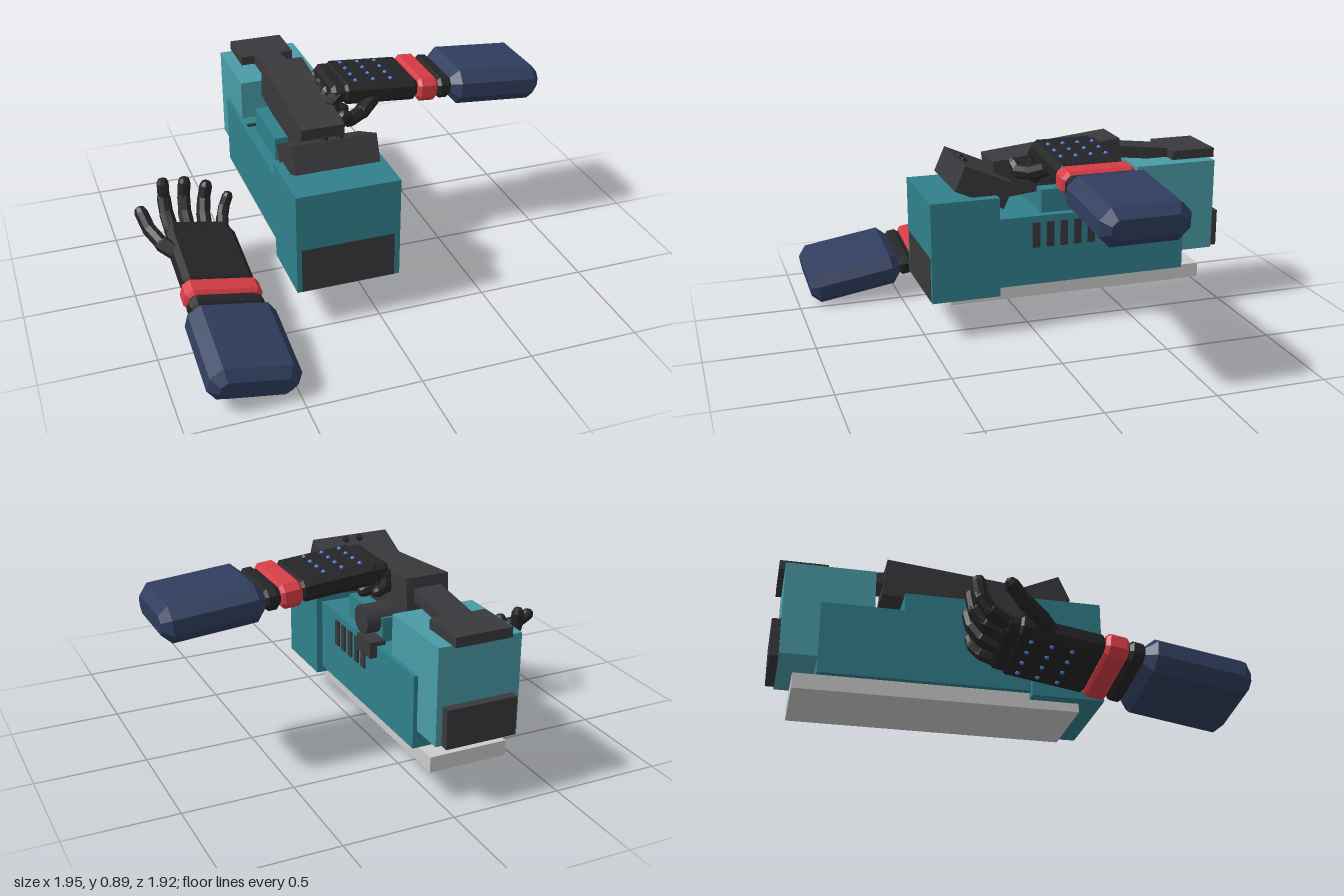
import * as THREE from 'three';

const paint = (color) => new THREE.MeshStandardMaterial({ color, flatShading: true });
const teal = paint(0x30808c), lightTeal = paint(0x4a9ca8), dark = paint(0x39383c);
const black = paint(0x242426), navy = paint(0x2f3d5e), red = paint(0xd63c46);
const blue = paint(0x4a7ae0), grey = paint(0xcccccc);

function add(parent, name, geometry, material, x = 0, y = 0, z = 0) {
  const mesh = new THREE.Mesh(geometry, material);
  mesh.name = name;
  mesh.position.set(x, y, z);
  parent.add(mesh);
  return mesh;
}

// Box given by its limits on each axis
function block(parent, name, material, [x0, x1], [y0, y1], [z0, z1]) {
  return add(parent, name, new THREE.BoxGeometry(x1 - x0, y1 - y0, z1 - z0), material,
    (x0 + x1) / 2, (y0 + y1) / 2, (z0 + z1) / 2);
}

// Box with chamfered long edges (c) and chamfered ends (b), centred, long axis z
function chamferBox(w, h, l, c, b) {
  const x = w / 2 - b, y = h / 2 - b;
  const outline = [[x, -y + c], [x, y - c], [x - c, y], [-x + c, y],
    [-x, y - c], [-x, -y + c], [-x + c, -y], [x - c, -y]];
  const shape = new THREE.Shape(outline.map(([u, v]) => new THREE.Vector2(u, v)));
  const geometry = new THREE.ExtrudeGeometry(shape, {
    depth: l - 2 * b, bevelEnabled: true, bevelSize: b, bevelThickness: b, bevelSegments: 1,
  });
  return geometry.translate(0, 0, -(l / 2 - b));
}

// Jointed finger: one capsule per pair of points, slimmer towards the tip
function finger(parent, name, points, radius) {
  const group = new THREE.Group();
  group.name = name;
  const p = points.map((a) => new THREE.Vector3(...a));
  for (let i = 0; i < p.length - 1; i++) {
    const dir = p[i + 1].clone().sub(p[i]);
    const mid = p[i].clone().add(p[i + 1]).multiplyScalar(0.5);
    const bone = add(group, 'fingerSegment',
      new THREE.CapsuleGeometry(radius * (1 - 0.07 * i), dir.length(), 2, 8), black, mid.x, mid.y, mid.z);
    bone.quaternion.setFromUnitVectors(new THREE.Vector3(0, 1, 0), dir.normalize());
  }
  parent.add(group);
}

// Glove: fingers towards -z, back of the hand up, thumb at -side
function glove(name, side, curl, thumb) {
  const g = new THREE.Group();
  g.name = name;
  add(g, 'forearm', chamferBox(0.39, 0.165, 0.45, 0.025, 0.04), navy, 0, 0, 0.342);
  add(g, 'cuff', chamferBox(0.335, 0.1, 0.065, 0.02, 0.014), black, 0, 0, 0.085);
  add(g, 'wrist', chamferBox(0.3, 0.08, 0.14, 0.02, 0.01), black, 0, 0, 0.06);
  add(g, 'wristBand', chamferBox(0.345, 0.112, 0.095, 0.02, 0.014), red);
  add(g, 'palm', chamferBox(0.32, 0.1, 0.36, 0.015, 0.018), black, 0, 0, -0.225);
  add(g, 'knuckles', chamferBox(0.3, 0.085, 0.08, 0.015, 0.018), black, 0, 0, -0.42);
  // Studs on the back of the hand
  for (let i = 0; i < 3; i++)
    for (let j = 0; j < 4; j++)
      add(g, 'stud', new THREE.SphereGeometry(0.01, 8, 6), blue,
        -0.105 + 0.07 * j, 0.05, -0.34 + 0.085 * i);
  const lengths = [1, 1.03, 0.95, 0.72];
  lengths.forEach((k, i) => {
    const x = side * (-0.12 + 0.08 * i);
    finger(g, 'finger', curl.map(([y, z], n) =>
      [x * (1 + 0.09 * n), y * k, -0.44 + (z + 0.44) * k]), i === 3 ? 0.029 : 0.034);
  });
  finger(g, 'thumb', thumb.map(([x, y, z]) => [x * side, y, z]), 0.036);
  g.rotation.order = 'YXZ';
  return g;
}

export function createModel() {
  const model = new THREE.Group();
  model.name = 'machineWithGloves';

  // Body
  block(model, 'base', grey, [-0.32, 0.04], [0.15, 0.22], [-0.86, 0.38]);
  block(model, 'frontHousing', teal, [-0.372, 0.098], [0.19, 0.66], [0.16, 0.48]);
  block(model, 'frontPanel', dark, [-0.35, 0.072], [0.191, 0.4], [0.44, 0.482]);
  block(model, 'middleHousing', teal, [-0.347, 0.07], [0.22, 0.55], [-0.76, 0.16]);
  block(model, 'upperHousing', teal, [-0.3, 0.03], [0.54, 0.66], [-0.39, -0.06]);
  block(model, 'rearHousing', lightTeal, [-0.33, 0.052], [0.3, 0.735], [-0.92, -0.525]);
  block(model, 'rearPanel', dark, [-0.3, 0.025], [0.3, 0.475], [-0.96, -0.9]);
  block(model, 'smallTab', dark, [-0.33, -0.285], [0.545, 0.56], [-0.44, -0.425]);

  // Side vents and side switch
  for (let i = 0; i < 5; i++) {
    const z = -0.022 - 0.067 * i;
    block(model, 'vent', dark, [0.05, 0.078], [0.4, 0.52], [z - 0.018, z + 0.018]);
  }
  block(model, 'sideSwitch', dark, [0.03, 0.103], [0.497, 0.57], [-0.42, -0.29]);

  // Hinge across the top
  add(model, 'hinge', new THREE.CylinderGeometry(0.065, 0.065, 0.33, 24), dark, -0.07, 0.64, -0.315)
    .rotation.z = Math.PI / 2;

  // Tilted head with pins
  const head = new THREE.Group();
  head.name = 'head';
  head.position.set(-0.14, 0.7, 0.215);
  head.rotation.x = -0.42;
  add(head, 'headPlate', new THREE.BoxGeometry(0.38, 0.125, 0.25), dark);
  for (const x of [-0.035, 0.035]) {
    add(head, 'pin', new THREE.CylinderGeometry(0.016, 0.016, 0.02, 12), black, x, 0.065, 0.09);
    add(head, 'lowerPin', new THREE.CylinderGeometry(0.01, 0.01, 0.02, 12), black, x, -0.07, -0.1);
  }
  model.add(head);

  // Arm on top, running back to the rear plate
  add(model, 'arm', new THREE.BoxGeometry(0.2, 0.178, 0.62), dark, -0.14, 0.735, -0.168).rotation.x = 0.105;
  add(model, 'rearArm', new THREE.BoxGeometry(0.13, 0.055, 0.33), dark, -0.14, 0.766, -0.6).rotation.x = -0.12;
  block(model, 'rearArmPlate', dark, [-0.27, -0.01], [0.733, 0.778], [-0.945, -0.73]);

  // Glove gripping the arm
  const grip = glove('grippingGlove', 1,
    [[0, -0.42], [-0.03, -0.452], [-0.1, -0.44], [-0.11, -0.37]],
    [[-0.13, -0.03, -0.26], [-0.185, -0.07, -0.33], [-0.225, -0.085, -0.4], [-0.235, -0.06, -0.435]]);
  grip.position.set(0.422, 0.808, -0.175);
  grip.rotation.set(0.08, Math.PI / 2, 0);
  model.add(grip);

  // Open glove, palm up beside the body
  const open = glove('openGlove', -1,
    [[0, -0.44], [-0.03, -0.52], [-0.085, -0.57], [-0.15, -0.59]],
    [[-0.12, 0, -0.26], [-0.19, -0.01, -0.33], [-0.235, -0.03, -0.41], [-0.265, -0.075, -0.475]]);
  open.position.set(-0.685, 0.197, 0.385);
  open.rotation.set(0.16, 0, Math.PI - 0.2);
  model.add(open);

  return model;
}
